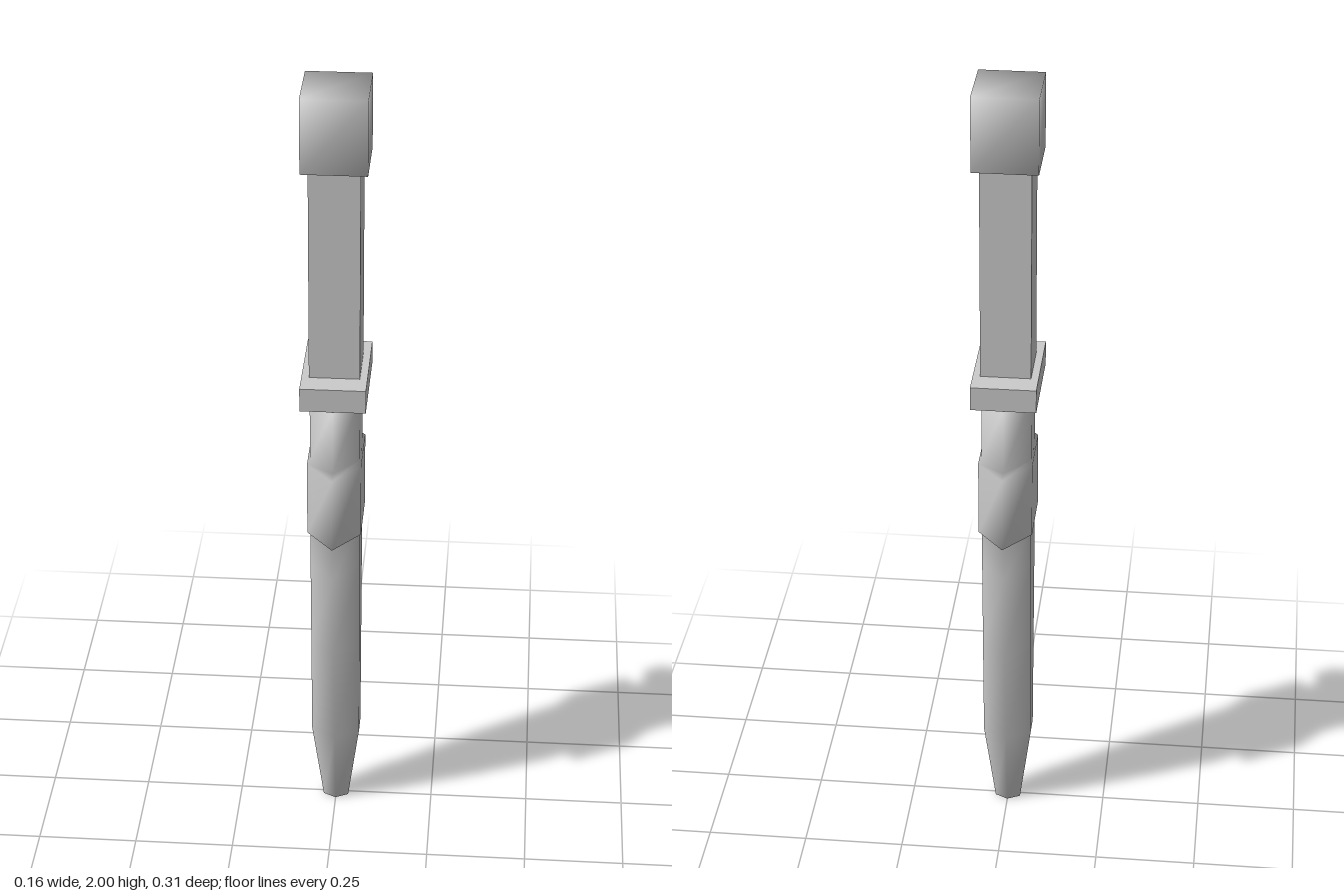
import * as THREE from 'three';
import { mergeVertices } from 'three/addons/utils/BufferGeometryUtils.js';

const material = new THREE.MeshStandardMaterial({ color: 0xcccccc });

function addPart(group, name, geometry) {
  const mesh = new THREE.Mesh(geometry, material);
  mesh.name = name;
  group.add(mesh);
  return mesh;
}

// Box standing between two heights
function block(w, d, y0, y1) {
  return new THREE.BoxGeometry(w, y1 - y0, d).translate(0, (y0 + y1) / 2, 0);
}

// Box with shared corners, so its shading is soft
function softBlock(w, d, y0, y1) {
  const g = block(w, d, y0, y1);
  g.deleteAttribute('normal');
  g.deleteAttribute('uv');
  const merged = mergeVertices(g);
  merged.computeVertexNormals();
  return merged;
}

// Lofts pointed hexagons; each ring is [y, half width, shoulder z, point z]
function hexLoft(rings) {
  const positions = [], index = [], n = 6;
  for (const [y, x, s, z] of rings) {
    for (const [px, pz] of [[0, z], [x, s], [x, -s], [0, -z], [-x, -s], [-x, s]]) {
      positions.push(px, y, pz);
    }
  }
  for (let r = 0; r < rings.length - 1; r++) {
    for (let k = 0; k < n; k++) {
      const a = r * n + k, b = r * n + (k + 1) % n;
      index.push(a, b, b + n, a, b + n, a + n);
    }
  }
  const top = (rings.length - 1) * n;
  for (let k = 1; k < n - 1; k++) {
    index.push(0, k + 1, k, top, top + k, top + k + 1);
  }
  const g = new THREE.BufferGeometry();
  g.setAttribute('position', new THREE.Float32BufferAttribute(positions, 3));
  g.setIndex(index);
  g.computeVertexNormals();
  return g;
}

export function createModel() {
  const group = new THREE.Group();
  group.name = 'sheathedDagger';

  // Tapered scabbard with its raised band
  addPart(group, 'scabbard', hexLoft([
    [0, 0.032, 0.014, 0.03],
    [0.22, 0.061, 0.026, 0.064],
    [0.5, 0.061, 0.038, 0.098],
    [0.74, 0.061, 0.047, 0.118],
    [0.85, 0.061, 0.047, 0.118],
    [0.85, 0.066, 0.077, 0.156],
    [1.045, 0.066, 0.077, 0.156],
    [1.045, 0.061, 0.047, 0.118],
    [1.22, 0.061, 0.047, 0.118],
  ]));

  // Hilt
  addPart(group, 'guard', block(0.158, 0.252, 1.22, 1.28));
  addPart(group, 'grip', block(0.122, 0.134, 1.28, 1.815));
  addPart(group, 'pommel', softBlock(0.157, 0.166, 1.815, 2));

  return group;
}
